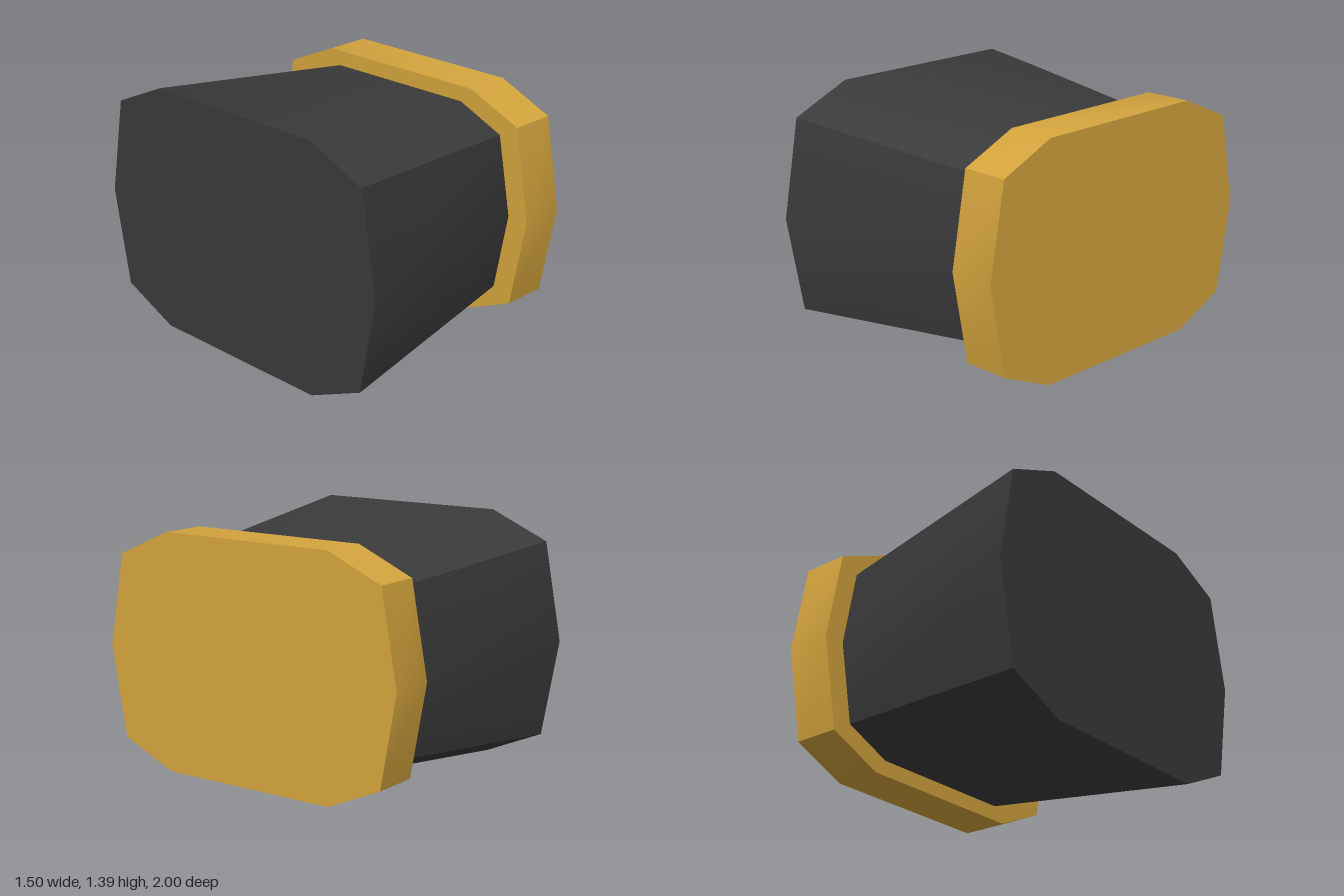
import * as THREE from 'three';
import { toCreasedNormals } from 'three/addons/utils/BufferGeometryUtils.js';

const CENTRE_Y = 0.695;

// Ten-sided outline shared by both parts: width runs along z, height along y
const quarter = [[1, 0], [0.9, 0.545], [0.56, 0.695]];
const half = [...quarter, ...quarter.map(([w, h]) => [-w, h]).reverse()];
const outline = [...half, ...half.slice(1, -1).map(([w, h]) => [w, -h]).reverse()]
  .map(([w, h]) => new THREE.Vector2(w, h));

// Extrude the outline along x, scaling it from one end to the other
function taperedBlock(name, x0, x1, scale0, scale1, material) {
  const length = x1 - x0;
  const geometry = new THREE.ExtrudeGeometry(new THREE.Shape(outline), { depth: length, bevelEnabled: false });
  const p = geometry.attributes.position;
  for (let i = 0; i < p.count; i++) {
    const s = THREE.MathUtils.lerp(scale0, scale1, p.getZ(i) / length);
    p.setXY(i, p.getX(i) * s, p.getY(i) * s);
  }
  geometry.rotateY(Math.PI / 2);
  geometry.translate(x0, CENTRE_Y, 0);
  // Soft across the shallow bends, sharp at the corners and end faces
  const mesh = new THREE.Mesh(toCreasedNormals(geometry, 0.7), material);
  mesh.name = name;
  return mesh;
}

export function createModel() {
  const charcoal = new THREE.MeshStandardMaterial({ name: 'charcoal', color: 0x3a3a3a });
  const gold = new THREE.MeshStandardMaterial({ name: 'gold', color: 0xd4a43d });

  const model = new THREE.Group();
  model.name = 'cappedBlock';
  model.add(
    taperedBlock('taperedBody', -0.752, 0.487, 1, 0.811, charcoal),
    taperedBlock('endCap', 0.487, 0.752, 0.935, 0.935, gold),
  );
  return model;
}
